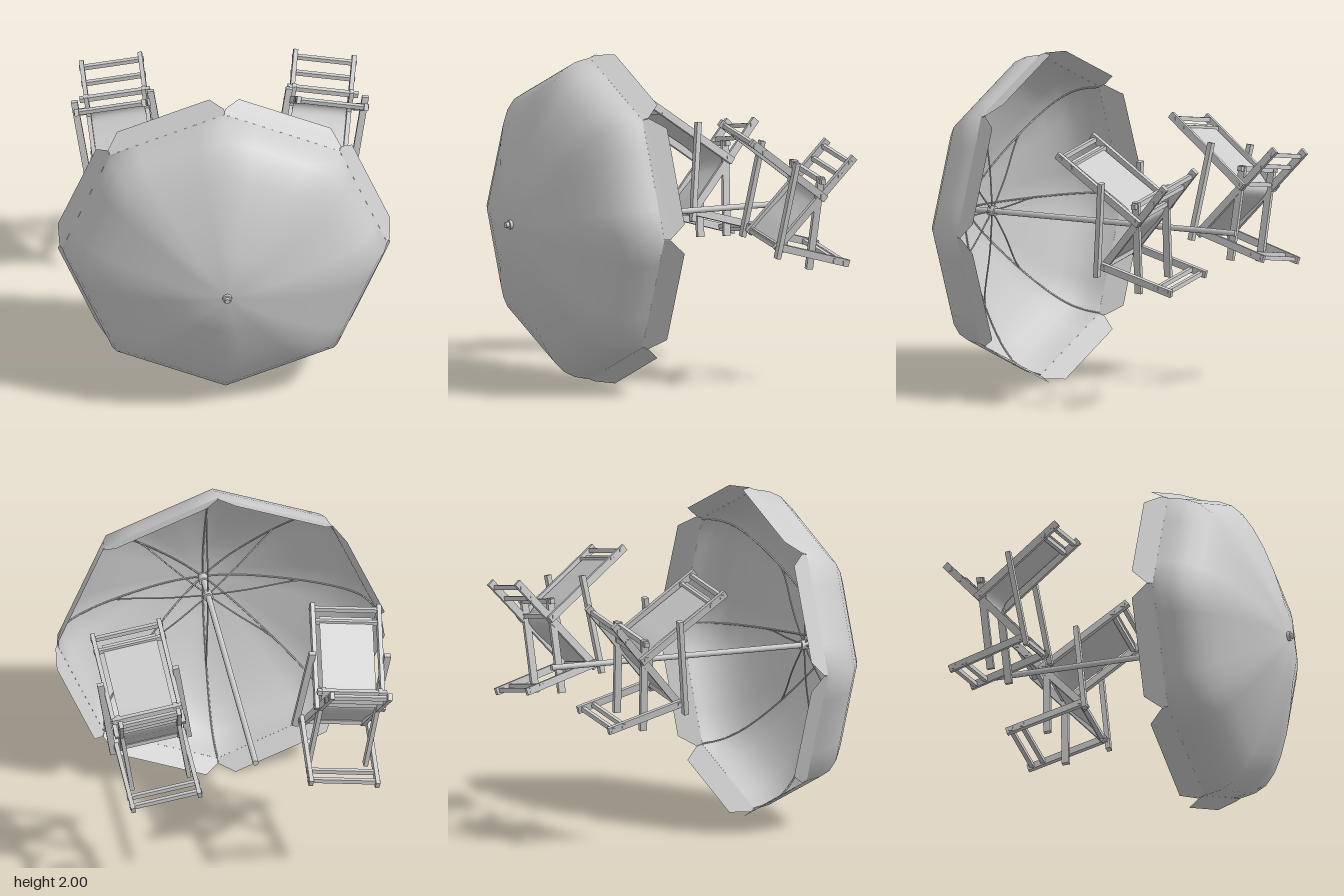
import * as THREE from 'three';

const grey = new THREE.MeshStandardMaterial({ color: 0xcccccc, side: THREE.DoubleSide });
grey.name = 'light grey';

// canopy rib profile: [radius, z] from the crown to the rim
const PROFILE = [[0.01, 0.932], [0.1, 0.928], [0.2, 0.914], [0.3, 0.89], [0.45, 0.842], [0.61, 0.78], [0.75, 0.71],
  [0.85, 0.645], [0.92, 0.575], [0.957, 0.5], [0.97, 0.44], [0.977, 0.4]];
const SIDES = 8, STEP = Math.PI * 2 / SIDES;

function add(parent, name, geometry) {
  const mesh = new THREE.Mesh(geometry, grey);
  mesh.name = name;
  parent.add(mesh);
  return mesh;
}

function surface(points, index) {
  const g = new THREE.BufferGeometry();
  g.setAttribute('position', new THREE.Float32BufferAttribute(points, 3));
  g.setIndex(index);
  g.computeVertexNormals();
  return g;
}

// eight-sided dome with straight edges between the ribs
function canopyGeometry() {
  const sub = 4, n = SIDES * sub, points = [], index = [];
  for (const [r, z] of PROFILE) {
    for (let i = 0; i < n; i++) {
      const a = Math.floor(i / sub) * STEP, t = (i % sub) / sub;
      points.push(
        r * ((1 - t) * Math.cos(a) + t * Math.cos(a + STEP)),
        r * ((1 - t) * Math.sin(a) + t * Math.sin(a + STEP)), z);
    }
  }
  for (let j = 0; j < PROFILE.length - 1; j++) {
    for (let i = 0; i < n; i++) {
      const a = j * n + i, b = j * n + (i + 1) % n;
      index.push(a, a + n, b, b, a + n, b + n);
    }
  }
  return surface(points, index);
}

// hanging valance panel with cut corners: rows of [half width, distance from axis, z]
function valanceGeometry() {
  const rows = [[0.374, 0.903, 0.4], [0.378, 0.918, 0.365], [0.3, 0.958, 0.275]];
  const points = [], index = [];
  rows.forEach(([u, d, z], i) => {
    points.push(d, -u, z, d, u, z);
    if (i) {
      const k = i * 2;
      index.push(k - 2, k, k - 1, k - 1, k, k + 1);
    }
  });
  return surface(points, index);
}

function zCylinder(radius, z0, z1, sides) {
  const g = new THREE.CylinderGeometry(radius, radius, z1 - z0, sides);
  g.rotateX(Math.PI / 2);
  g.translate(0, 0, (z0 + z1) / 2);
  return g;
}

function tube(points, radius, segments) {
  const curve = new THREE.CatmullRomCurve3(points.map(([r, z]) => new THREE.Vector3(r, 0, z)));
  return new THREE.TubeGeometry(curve, segments, radius, 5);
}

function createParasol() {
  const parasol = new THREE.Group();
  parasol.name = 'parasol';
  parasol.position.y = 1;
  add(parasol, 'canopy', canopyGeometry());
  add(parasol, 'pole', zCylinder(0.018, -0.97, 0.93, 10));
  add(parasol, 'tipCollar', zCylinder(0.028, 0.92, 0.95, 12));
  add(parasol, 'tip', zCylinder(0.017, 0.945, 0.972, 12));
  add(parasol, 'upperHub', zCylinder(0.03, 0.87, 0.915, 12));
  add(parasol, 'runner', zCylinder(0.03, 0.71, 0.755, 12));

  const valance = valanceGeometry();
  const rib = tube(PROFILE.map(([r, z]) => [r * 0.994, z - 0.006]), 0.005, 32);
  const stretcher = tube([[0.02, 0.735], [0.25, 0.75], [0.5, 0.785], [0.57, 0.788]], 0.005, 12);
  for (let i = 0; i < SIDES; i++) {
    add(parasol, 'valance', valance).rotation.z = (i + 0.5) * STEP;
    add(parasol, 'rib', rib).rotation.z = i * STEP;
    add(parasol, 'stretcher', stretcher).rotation.z = i * STEP;
  }
  return parasol;
}

// vertical centre of the chairs; chair points are given as [y, z]
const CHAIR_Y = 1.13;

function beam(parent, name, x, from, to, across, depth) {
  const dy = to[0] - from[0], dz = to[1] - from[1];
  const mesh = add(parent, name, new THREE.BoxGeometry(across, depth, Math.hypot(dy, dz)));
  mesh.position.set(x, (from[0] + to[0]) / 2 - CHAIR_Y, (from[1] + to[1]) / 2);
  mesh.rotation.x = -Math.atan2(dy, dz);
}

// pair of side rails joined by crossbars at fractions of their length
function frame(parent, name, half, from, to, bars) {
  for (const s of [-1, 1]) beam(parent, name + 'Rail', s * half, from, to, 0.026, 0.044);
  for (const t of bars) {
    const bar = add(parent, name + 'Crossbar', new THREE.BoxGeometry(half * 2 + 0.035, 0.026, 0.026));
    bar.position.set(0, from[0] + (to[0] - from[0]) * t - CHAIR_Y, from[1] + (to[1] - from[1]) * t);
  }
}

// cloth sling along the back and seat
function slingGeometry(half) {
  const path = [[1.53, -0.31], [1.37, -0.53], [1.24, -0.7], [1.17, -0.735], [1.1, -0.69], [0.99, -0.58], [0.89, -0.49]];
  const curve = new THREE.CatmullRomCurve3(path.map(([y, z]) => new THREE.Vector3(0, y - CHAIR_Y, z)));
  const points = [], index = [], n = 24;
  curve.getPoints(n).forEach((p, i) => {
    points.push(-half, p.y, p.z, half, p.y, p.z);
    if (i) {
      const k = i * 2;
      index.push(k - 2, k, k - 1, k - 1, k, k + 1);
    }
  });
  return surface(points, index);
}

function createChair(side) {
  const chair = new THREE.Group();
  chair.name = side > 0 ? 'leftChair' : 'rightChair';
  frame(chair, 'back', 0.205, [1.575, -0.24], [1.18, -0.775], [0.05, 0.17, 0.95]);
  frame(chair, 'seat', 0.178, [1.42, -0.965], [0.87, -0.475], [0.06, 0.19, 0.97]);
  frame(chair, 'frontLeg', 0.205, [0.76, -0.965], [0.9, -0.475], [0.06, 0.2, 0.95]);
  frame(chair, 'lower', 0.175, [1.31, -0.75], [0.735, -0.715], []);
  const brace = add(chair, 'rearBrace', new THREE.BoxGeometry(0.43, 0.03, 0.03));
  brace.position.set(0, 1.29 - CHAIR_Y, -0.75);
  for (const s of [-1, 1]) beam(chair, 'armrest', s * 0.232, [1.43, -0.55], [0.835, -0.465], 0.04, 0.03);
  add(chair, 'sling', slingGeometry(0.165));
  chair.position.set(side * 0.6, CHAIR_Y, 0);
  chair.rotation.z = -side * 0.157;
  return chair;
}

export function createModel() {
  const model = new THREE.Group();
  model.name = 'parasolWithDeckchairs';
  model.add(createParasol(), createChair(1), createChair(-1));
  return model;
}
